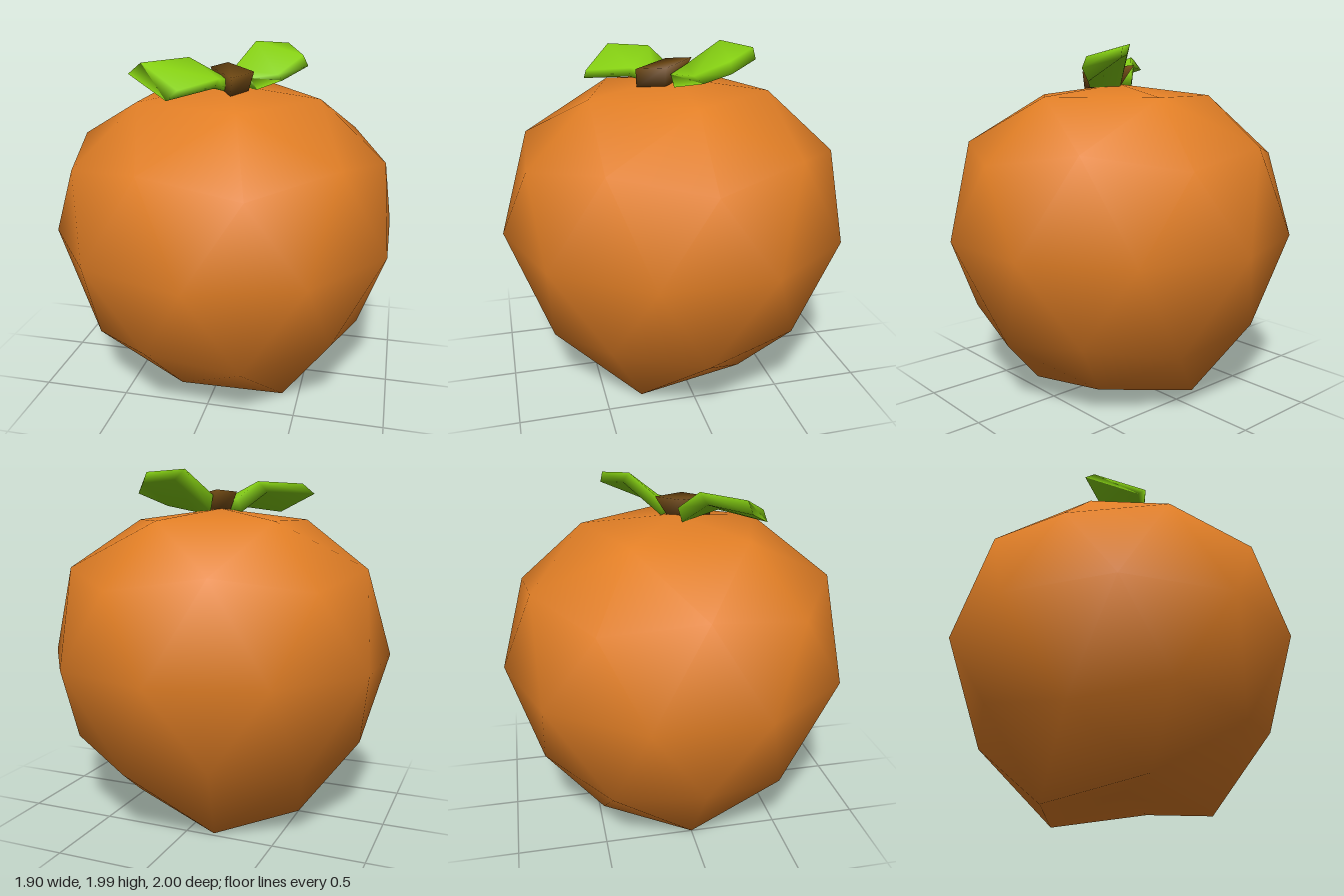
import * as THREE from 'three';

const skin = new THREE.MeshStandardMaterial({ color: 0xe27f26 });
skin.name = 'orange skin';
const leafGreen = new THREE.MeshStandardMaterial({ color: 0x85cf12 });
leafGreen.name = 'leaf green';
const bark = new THREE.MeshStandardMaterial({ color: 0x6d4712 });
bark.name = 'stem brown';

function smoothMesh(name, points, index, material) {
  const g = new THREE.BufferGeometry();
  g.setAttribute('position', new THREE.Float32BufferAttribute(points.flat(), 3));
  g.setIndex(index);
  g.computeVertexNormals();
  const mesh = new THREE.Mesh(g, material);
  mesh.name = name;
  return mesh;
}

// Low-poly sphere of triangulated rings, dimpled underneath
function fruitBody() {
  const points = [];
  const add = (r, y, deg) => {
    const a = THREE.MathUtils.degToRad(deg);
    return points.push([r * Math.cos(a), y, r * Math.sin(a)]) - 1;
  };
  const ring = (n, r, y, start) =>
    Array.from({ length: n }, (_, k) => add(r, Array.isArray(y) ? y[k] : y, start + (k * 360) / n));
  const T = add(0, 1.775, 0);
  const A = ring(5, 0.53, 1.71, 0);
  const B = ring(5, 0.905, 1.37, 0);
  const C = ring(5, 0.865, 1.45, 36);
  const E = ring(10, 1, 0.93, 18);
  const D = ring(5, 0.85, 0.47, 36);
  const F = ring(5, 0.8, 0.38, 0);
  const G = ring(5, 0.5, [0, 0.11, 0, 0, 0.11], 36);
  const P = add(0, 0.12, 0);
  const index = [];
  const tri = (a, b, c) => index.push(c, b, a);
  for (let k = 0; k < 5; k++) {
    const n = (k + 1) % 5, p = (k + 4) % 5;
    const e = E[2 * k], eNext = E[2 * k + 1], ePrev = E[(2 * k + 9) % 10];
    // crown
    tri(T, A[k], A[n]);
    tri(A[k], B[k], C[k]);
    tri(A[k], C[k], A[n]);
    tri(A[n], C[k], B[n]);
    // belly
    tri(B[k], e, C[k]);
    tri(C[k], e, eNext);
    tri(C[k], eNext, B[n]);
    tri(e, D[k], eNext);
    tri(B[k], ePrev, e);
    tri(ePrev, D[p], F[k]);
    tri(ePrev, F[k], e);
    tri(e, F[k], D[k]);
    // underside
    tri(D[p], G[p], F[k]);
    tri(F[k], G[p], G[k]);
    tri(F[k], G[k], D[k]);
    tri(G[p], P, G[k]);
  }
  return smoothMesh('fruitBody', points, index, skin);
}

// Closed loft through four-cornered cross-sections
function loft(name, sections, material) {
  const index = [];
  const last = (sections.length - 1) * 4;
  for (let s = 0; s < last; s += 4) {
    for (let i = 0; i < 4; i++) {
      const j = (i + 1) % 4;
      index.push(s + i, s + j, s + 4 + j, s + i, s + 4 + j, s + 4 + i);
    }
  }
  index.push(0, 2, 1, 0, 3, 2, last, last + 1, last + 2, last, last + 2, last + 3);
  return smoothMesh(name, sections.flat(), index, material);
}

export function createModel() {
  const model = new THREE.Group();
  model.name = 'fruit';
  model.add(fruitBody());

  // Stem, top to bottom
  model.add(loft('stem', [
    [[-0.02, 1.88, -0.11], [0.17, 1.86, 0.08], [0.08, 1.845, 0.23], [-0.09, 1.87, 0.02]],
    [[0.02, 1.755, -0.03], [0.14, 1.755, 0.08], [0.07, 1.745, 0.225], [-0.03, 1.755, 0.06]],
  ], bark));

  // Each leaf section: upper edge corners, then lower edge corners
  model.add(loft('frontLeaf', [
    [[-0.4, 1.92, 0.3], [-0.15, 1.81, 0.47], [-0.21, 1.755, 0.475], [-0.47, 1.86, 0.31]],
    [[-0.19, 1.93, 0.1], [0.01, 1.84, 0.24], [-0.01, 1.79, 0.25], [-0.24, 1.87, 0.13]],
    [[-0.1, 1.83, 0], [0.04, 1.82, 0.12], [0.02, 1.755, 0.13], [-0.12, 1.755, 0.02]],
  ], leafGreen));

  model.add(loft('backLeaf', [
    [[0.02, 1.85, -0.07], [0.14, 1.82, 0.05], [0.18, 1.755, 0.04], [0.04, 1.755, -0.06]],
    [[0.12, 1.99, -0.23], [0.28, 1.83, -0.04], [0.3, 1.79, -0.09], [0.17, 1.93, -0.26]],
    [[0.29, 1.97, -0.36], [0.4, 1.92, -0.2], [0.43, 1.86, -0.2], [0.31, 1.91, -0.37]],
  ], leafGreen));

  return model;
}
